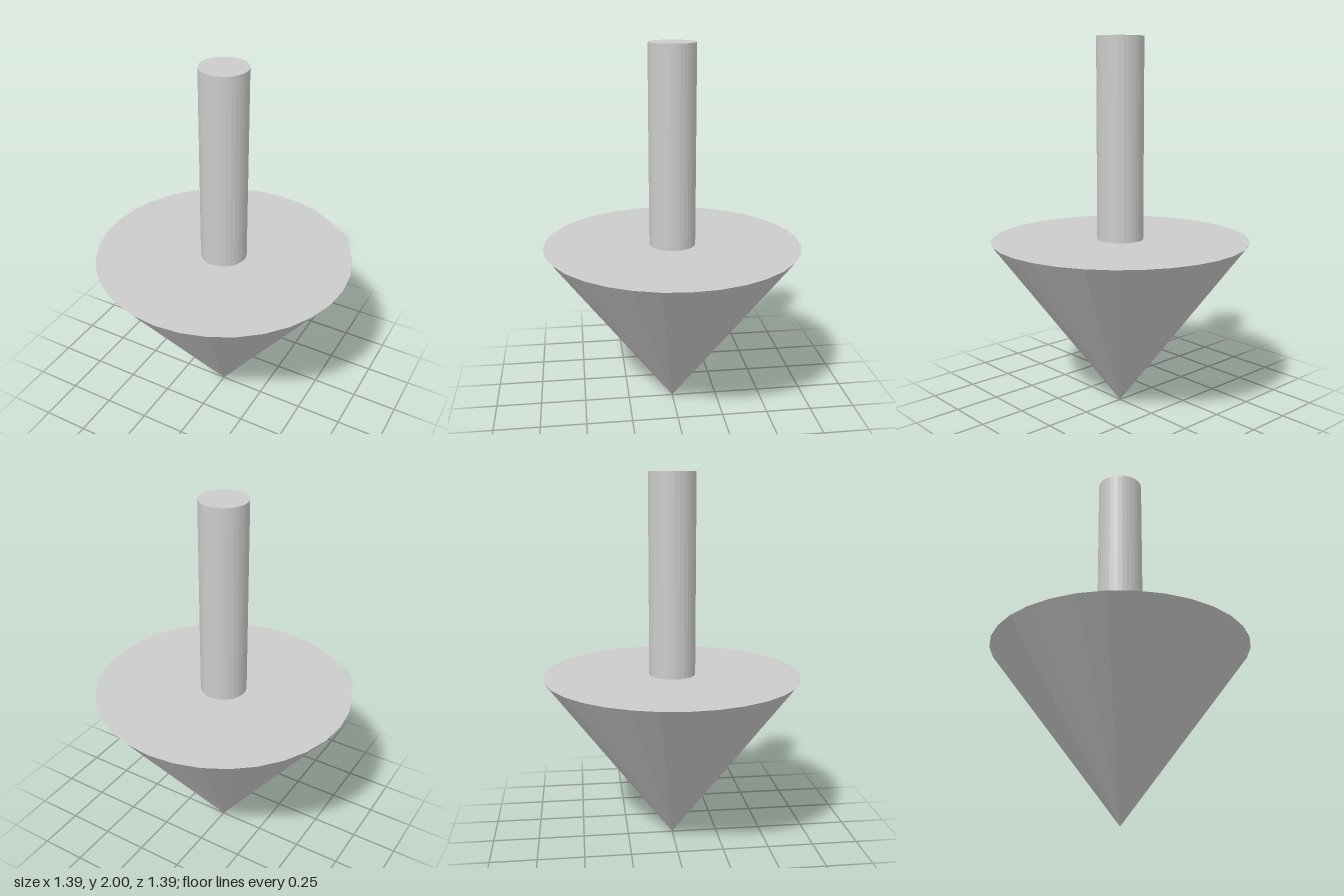
import * as THREE from 'three';

const SIDES = 32;
const HEIGHT = 2;
const CONE_HEIGHT = 0.93;

export function createModel() {
  const group = new THREE.Group();
  group.name = 'downArrow';
  const material = new THREE.MeshStandardMaterial({ color: 0xcccccc, flatShading: true });

  const addPart = (name, geometry, y) => {
    const mesh = new THREE.Mesh(geometry, material);
    mesh.name = name;
    mesh.position.y = y;
    group.add(mesh);
  };

  // Cone pointing down, with its flat base on top
  const cone = new THREE.ConeGeometry(0.695, CONE_HEIGHT, SIDES).rotateX(Math.PI);
  addPart('arrowHead', cone, CONE_HEIGHT / 2);

  // Round shaft standing on the base of the cone
  const shaftHeight = HEIGHT - CONE_HEIGHT;
  const shaft = new THREE.CylinderGeometry(0.125, 0.125, shaftHeight, SIDES);
  addPart('shaft', shaft, CONE_HEIGHT + shaftHeight / 2);

  return group;
}
